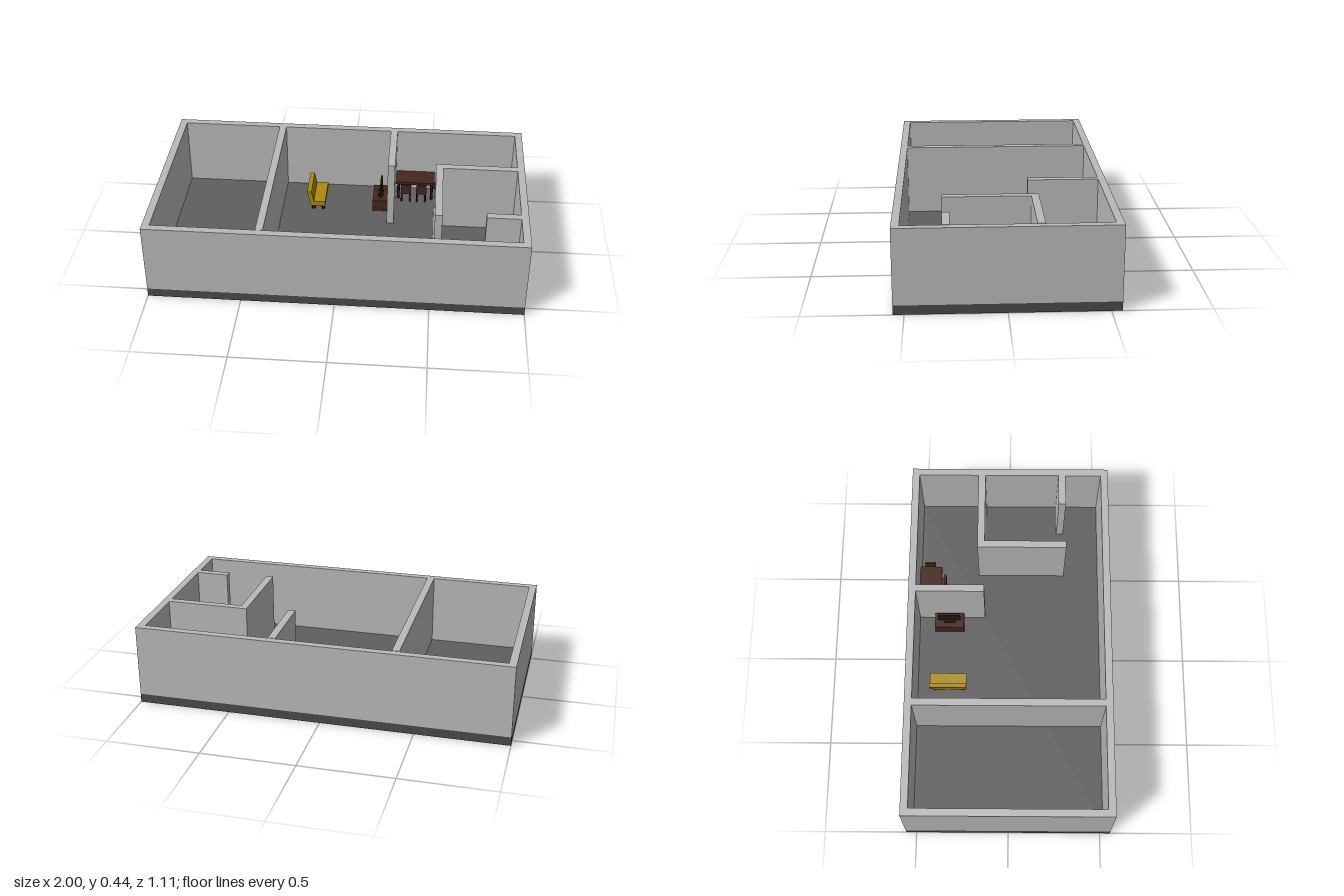
import * as THREE from 'three';

const material = (name, color) => {
  const m = new THREE.MeshStandardMaterial({ color });
  m.name = name;
  return m;
};

export function createModel() {
  const model = new THREE.Group();
  model.name = 'floorPlanHouse';
  const wall = material('wallGrey', 0xbababa);
  const slab = material('slabGrey', 0x4a4a4a);
  const floor = material('floorGrey', 0x5f5f5f);
  const yellow = material('sofaYellow', 0xa98a0c);
  const wood = material('darkWood', 0x43271c);
  const dark = material('blackBrown', 0x231713);

  const add = (parent, name, geometry, mat) => {
    const mesh = new THREE.Mesh(geometry, mat);
    mesh.name = name;
    parent.add(mesh);
    return mesh;
  };
  // Box given by its limits on each axis
  const box = (parent, name, mat, x0, x1, y0, y1, z0, z1) => {
    const mesh = add(parent, name, new THREE.BoxGeometry(x1 - x0, y1 - y0, z1 - z0), mat);
    mesh.position.set((x0 + x1) / 2, (y0 + y1) / 2, (z0 + z1) / 2);
    return mesh;
  };
  const group = (name) => {
    const g = new THREE.Group();
    g.name = name;
    model.add(g);
    return g;
  };

  const F = 0.05; // floor level
  const T = 0.44; // wall top

  // Slab and floor
  box(model, 'foundation', slab, -1, 1, 0, F - 0.002, -0.555, 0.555);
  box(model, 'floor', floor, -0.96, 0.96, F - 0.004, F, -0.515, 0.515);

  // Outer walls: a rectangle with a rectangular hole, extruded upwards
  const rect = (Type, w, d) => new Type([[-w, -d], [w, -d], [w, d], [-w, d]]
    .map(([x, y]) => new THREE.Vector2(x, y)));
  const outline = rect(THREE.Shape, 1, 0.555);
  outline.holes.push(rect(THREE.Path, 0.96, 0.515));
  const shell = new THREE.ExtrudeGeometry(outline, { depth: T - F + 0.002, bevelEnabled: false });
  shell.rotateX(-Math.PI / 2);
  add(model, 'outerWalls', shell, wall).position.y = F - 0.002;

  // Inner walls: x0, x1, z0, z1
  const inner = [
    ['longPartition', -0.41, -0.37, -0.515, 0.515],
    ['kitchenPartition', 0.243, 0.283, -0.515, -0.14],
    ['bathBackWall', 0.51, 0.96, -0.18, -0.14],
    ['bathSideWall', 0.51, 0.55, -0.14, 0.315],
    ['bathStubWall', 0.78, 0.96, 0.275, 0.315],
  ];
  for (const [name, x0, x1, z0, z1] of inner) box(model, name, wall, x0, x1, F, T + 0.002, z0, z1);

  // Legs at the four corners of a footprint
  const legs = (parent, r, x0, x1, y1, z0, z1) => {
    for (const x of [x0, x1]) for (const z of [z0, z1]) {
      add(parent, 'leg', new THREE.CylinderGeometry(r, r, y1 - F, 12), dark)
        .position.set(x, (F + y1) / 2, z);
    }
  };

  // Sofa: side profile of seat and reclined back, extruded along its length
  const sofa = group('sofa');
  const profile = new THREE.Shape([
    [-0.205, 0.08], [-0.12, 0.08], [-0.12, 0.112], [-0.187, 0.108],
    [-0.2, 0.175], [-0.225, 0.175],
  ].map(([x, y]) => new THREE.Vector2(x, y)));
  add(sofa, 'sofaBody', new THREE.ExtrudeGeometry(profile, { depth: 0.205, bevelEnabled: false }), yellow)
    .position.z = -0.445;
  legs(sofa, 0.01, -0.19, -0.133, 0.082, -0.42, -0.262);

  // Sideboard with a screen, against the kitchen partition
  const media = group('mediaUnit');
  box(media, 'sideboard', wood, 0.155, 0.242, F, 0.12, -0.425, -0.26);
  box(media, 'screenFoot', dark, 0.185, 0.215, 0.12, 0.13, -0.375, -0.31);
  box(media, 'screen', dark, 0.195, 0.207, 0.13, 0.2, -0.405, -0.28);

  // Dining table
  const table = group('diningTable');
  box(table, 'tableTop', wood, 0.284, 0.51, 0.155, 0.17, -0.514, -0.39);
  legs(table, 0.008, 0.3, 0.495, 0.156, -0.5, -0.405);

  // Chairs tucked under the table, back towards local +z
  const chair = (x, z, turn) => {
    const c = group('diningChair');
    box(c, 'chairSeat', wood, -0.03, 0.03, 0.105, 0.115, -0.055, 0);
    box(c, 'chairBack', wood, -0.03, 0.03, 0.115, 0.165, -0.01, 0);
    legs(c, 0.005, -0.024, 0.024, 0.106, -0.048, -0.007);
    c.position.set(x, 0, z);
    c.rotation.y = turn;
  };
  chair(0.345, -0.365, 0);
  chair(0.435, -0.365, 0);
  chair(0.543, -0.46, Math.PI / 2);

  return model;
}
